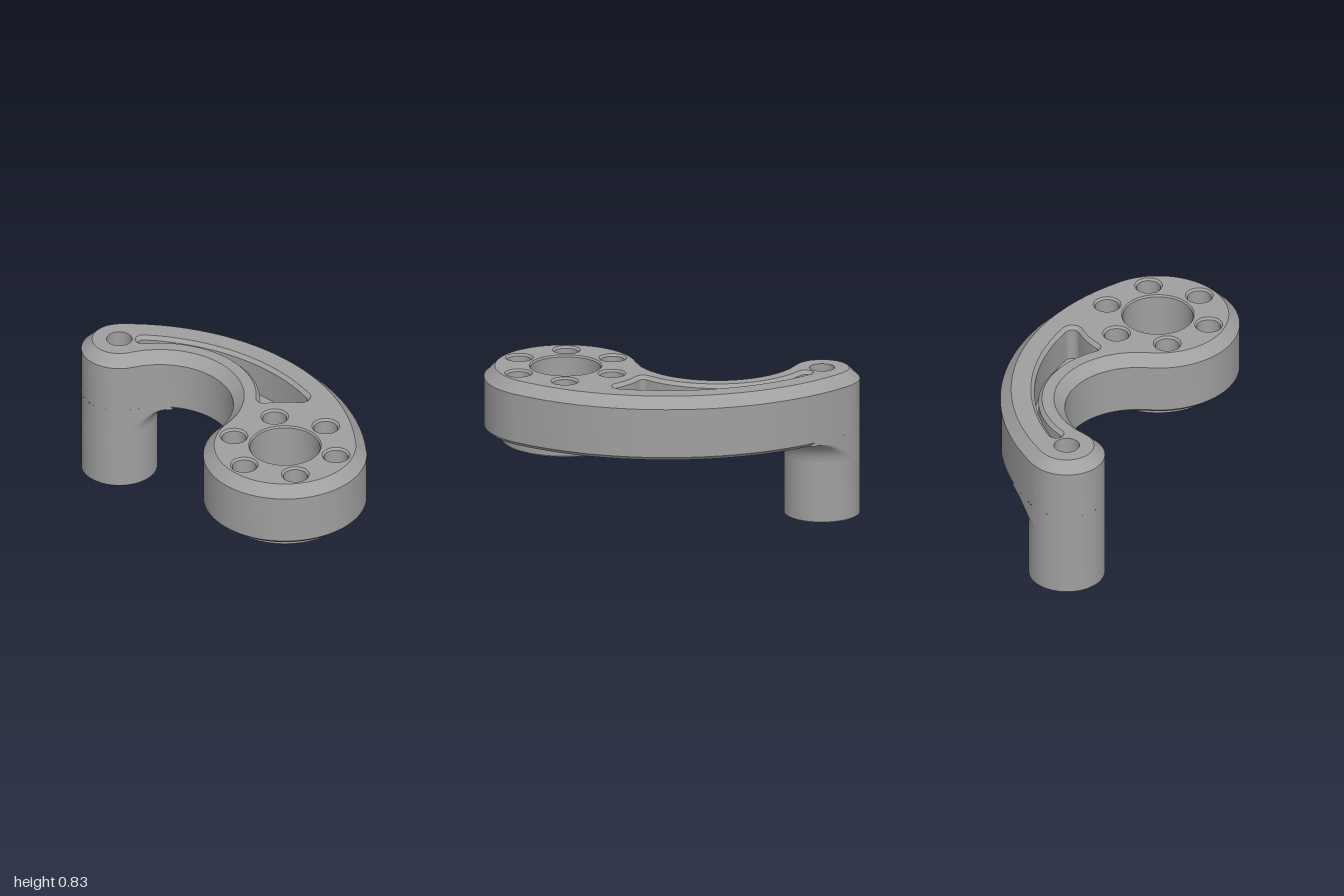
import * as THREE from 'three';

// Plan positions are [x, z]
const POST = [-0.79, -0.25], HUB = [0.55, 0.19];
const BACK = [-0.18, 0.69], BACK_R = 1.333;   // large arc along the back edge
const FRONT = [-0.30, 0.121], FRONT_R = 0.404; // concave arc along the front edge
const POST_R = 0.21, HUB_R = 0.45, TOP = 0.835, UNDER = 0.48;

const ang = (a, b) => Math.atan2(b[1] - a[1], b[0] - a[0]);

// Points along an arc, leaving out the last one so that arcs chain up
function arc(c, r, a0, a1, n) {
  return Array.from({ length: n }, (_, i) => {
    const a = a0 + (a1 - a0) * i / n;
    return [c[0] + r * Math.cos(a), c[1] + r * Math.sin(a)];
  });
}
const circle = (c, r, n = 48) => arc(c, r, 0, Math.PI * 2, n);

// Curved arm outline, inset by d
function outline(d) {
  const T = Math.PI * 2;
  return [
    ...arc(BACK, BACK_R - d, ang(BACK, POST), ang(BACK, HUB), 48),
    ...arc(HUB, HUB_R - d, ang(BACK, HUB), ang(HUB, FRONT) + T, 48),
    ...arc(FRONT, FRONT_R + d, ang(FRONT, HUB), ang(FRONT, POST), 36),
    ...arc(POST, POST_R - d, ang(POST, FRONT), ang(BACK, POST) + T, 32),
  ];
}

// One of the two crossings of two circles
function crossing(a, ra, b, rb) {
  const dx = b[0] - a[0], dz = b[1] - a[1], d = Math.hypot(dx, dz);
  const t = (d * d + ra * ra - rb * rb) / (2 * d), h = Math.sqrt(ra * ra - t * t);
  return [a[0] + (t * dx + h * dz) / d, a[1] + (t * dz - h * dx) / d];
}

// Three-sided pocket whose sides follow the arm arcs, inset by d
function pocket(d) {
  const rb = 1.165, rh = 0.44, rf = 0.53, big = 0.06, small = 0.045;
  const right = crossing(BACK, rb - big, HUB, rh + big);
  const low = crossing(FRONT, rf + small, HUB, rh + small);
  const left = crossing(BACK, rb - small, FRONT, rf + small);
  return [
    ...arc(BACK, rb - d, ang(BACK, left), ang(BACK, right), 16),
    ...arc(right, big - d, ang(BACK, right), ang(right, HUB), 12),
    ...arc(HUB, rh + d, ang(HUB, right), ang(HUB, low), 8),
    ...arc(low, small - d, ang(low, HUB), ang(low, FRONT), 10),
    ...arc(FRONT, rf + d, ang(FRONT, low), ang(FRONT, left), 16),
    ...arc(left, small - d, ang(left, FRONT), ang(BACK, left) + Math.PI * 2, 12),
  ];
}

export function createModel() {
  const group = new THREE.Group();
  const metal = new THREE.MeshStandardMaterial({ color: 0xa0a0a0 });
  metal.name = 'grey metal';

  function add(name, geometry) {
    const mesh = new THREE.Mesh(geometry, metal);
    mesh.name = name;
    group.add(mesh);
  }

  // Wall through [points, y] loops: listed upward it faces out, downward it faces in
  function loft(name, rows) {
    const n = rows[0][0].length, pos = [], index = [];
    rows.forEach(([pts, y]) => pts.forEach(([x, z]) => pos.push(x, y, z)));
    for (let r = 0; r < rows.length - 1; r++) {
      for (let i = 0; i < n; i++) {
        const j = (i + 1) % n, a = r * n, b = a + n;
        index.push(a + i, b + i, b + j, a + i, b + j, a + j);
      }
    }
    const g = new THREE.BufferGeometry();
    g.setAttribute('position', new THREE.Float32BufferAttribute(pos, 3));
    g.setIndex(index);
    g.computeVertexNormals();
    add(name, g);
  }
  // Same, but with a sharp edge at every loop
  function facets(name, rows) {
    for (let r = 0; r < rows.length - 1; r++) loft(name, [rows[r], rows[r + 1]]);
  }

  // Flat face with holes, facing up (s = 1) or down (s = -1)
  function face(name, pts, holes, y, s) {
    const flat = p => p.map(([x, z]) => new THREE.Vector2(x, -s * z));
    const shape = new THREE.Shape(flat(pts));
    shape.holes = holes.map(h => new THREE.Path(flat(h)));
    add(name, new THREE.ShapeGeometry(shape).rotateX(-s * Math.PI / 2).translate(0, y, 0));
  }

  const bolts = Array.from({ length: 6 }, (_, i) => {
    const a = -0.22 + i * Math.PI / 3;
    return [HUB[0] + 0.297 * Math.cos(a), HUB[1] + 0.297 * Math.sin(a)];
  });

  // Arm plate
  facets('armSide', [[outline(0.02), UNDER], [outline(0), 0.5], [outline(0), 0.775], [outline(0.06), TOP]]);
  face('armTop', outline(0.06), [
    circle(POST, 0.07), circle(HUB, 0.2), pocket(0), ...bolts.map(b => circle(b, 0.077)),
  ], TOP, 1);
  face('armUnderside', outline(0.02), [circle(POST, 0.07), circle(HUB, 0.385)], UNDER, -1);

  // Weight-saving pocket
  facets('pocketWall', [[pocket(0), TOP], [pocket(0.02), TOP - 0.02], [pocket(0.02), 0.63]]);
  face('pocketFloor', pocket(0.02), [], 0.63, 1);

  // Hub: boss underneath, bore and counterbored bolt holes
  facets('hubBoss', [[circle(HUB, 0.345), 0.41], [circle(HUB, 0.355), 0.42],
    [circle(HUB, 0.355), 0.452], [circle(HUB, 0.385), UNDER]]);
  face('hubBossFace', circle(HUB, 0.345), [circle(HUB, 0.21), ...bolts.map(b => circle(b, 0.036))], 0.41, -1);
  facets('hubBore', [[circle(HUB, 0.2), TOP], [circle(HUB, 0.193), TOP - 0.01],
    [circle(HUB, 0.193), 0.425], [circle(HUB, 0.21), 0.41]]);
  bolts.forEach(b => facets('boltHole', [[circle(b, 0.077), TOP], [circle(b, 0.066), TOP - 0.012],
    [circle(b, 0.066), 0.65], [circle(b, 0.036), 0.65], [circle(b, 0.036), 0.41]]));

  // Post with its through hole
  const N = 144, f = 0.125, y0 = UNDER - f;
  facets('post', [[circle(POST, 0.2, N), 0], [circle(POST, POST_R, N), 0.01], [circle(POST, POST_R, N), y0]]);
  face('postFoot', circle(POST, 0.2, N), [circle(POST, 0.07)], 0, -1);
  loft('postHole', [[circle(POST, 0.07), TOP], [circle(POST, 0.07), 0]]);

  // Distance from the post axis to the arm edge in direction a
  function reach(a) {
    const start = ang(POST, FRONT), end = ang(BACK, POST) + Math.PI * 2;
    if (a >= start && a <= end) return POST_R;
    const along = (c, r) => {
      const px = POST[0] - c[0], pz = POST[1] - c[1];
      const b = px * Math.cos(a) + pz * Math.sin(a);
      return [b, b * b - px * px - pz * pz + r * r];
    };
    const [b, d] = along(BACK, BACK_R), [e, g] = along(FRONT, FRONT_R);
    const out = -b + Math.sqrt(d);
    return Math.max(POST_R, e < 0 && g > 0 ? Math.min(out, -e - Math.sqrt(g)) : out);
  }

  // Fillet flaring from the post into the arm, trimmed at the arm edge
  const flare = r => Array.from({ length: N }, (_, i) => {
    const a = i / N * Math.PI * 2, d = Math.min(r, reach(a));
    return [POST[0] + d * Math.cos(a), POST[1] + d * Math.sin(a)];
  });
  const rows = Array.from({ length: 11 }, (_, k) => {
    const p = k / 10 * Math.PI / 2;
    return [flare(POST_R + f * (1 - Math.cos(p))), y0 + f * Math.sin(p)];
  });
  loft('postFillet', rows);
  loft('postCollar', [[flare(POST_R + f), UNDER], [flare(POST_R + f), 0.5]]);

  return group;
}
